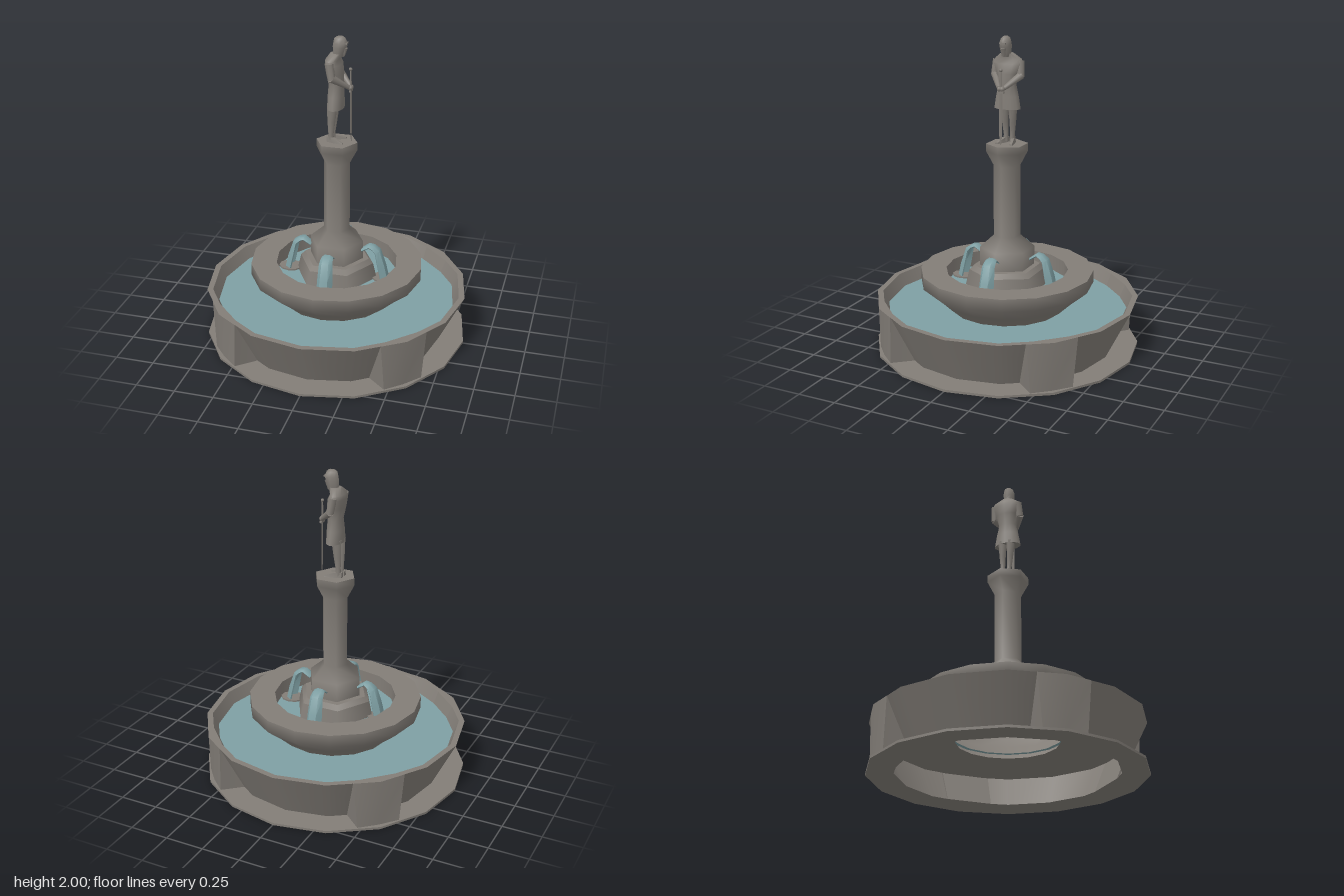
import * as THREE from 'three';
import { mergeGeometries, toCreasedNormals } from 'three/addons/utils/BufferGeometryUtils.js';

const stone = new THREE.MeshStandardMaterial({ color: 0x827d77, side: THREE.DoubleSide });
stone.name = 'stone';
const water = new THREE.MeshStandardMaterial({ color: 0x7e9fa3, side: THREE.DoubleSide });
water.name = 'water';
const V = (x, y, z) => new THREE.Vector3(x, y, z);

function add(parent, name, geometry, material = stone) {
  const mesh = new THREE.Mesh(geometry, material);
  mesh.name = name;
  parent.add(mesh);
  return mesh;
}

// Turned profile with smooth shading throughout
function smoothTurned(profile, sides, phi = 0) {
  return new THREE.LatheGeometry(profile.map(([r, y]) => new THREE.Vector2(r, y)), sides, phi);
}

// Turned profile, round around the axis but sharp at each profile point
function turned(profile, sides, phi = 0) {
  const bands = [];
  for (let i = 0; i + 1 < profile.length; i++)
    bands.push(smoothTurned(profile.slice(i, i + 2), sides, phi));
  return mergeGeometries(bands);
}

// Skin over a list of closed rings, capped at both ends
function loft(rings, crease = 0.9) {
  const n = rings[0].length, pos = [], idx = [];
  rings.flat().forEach(p => pos.push(p.x, p.y, p.z));
  for (let r = 0; r + 1 < rings.length; r++)
    for (let i = 0; i < n; i++) {
      const a = r * n + i, b = r * n + (i + 1) % n;
      idx.push(a, b, b + n, a, b + n, a + n);
    }
  [0, rings.length - 1].forEach((r, end) => {
    const c = rings[r].reduce((s, p) => s.add(p), V(0, 0, 0)).divideScalar(n);
    const ci = pos.length / 3;
    pos.push(c.x, c.y, c.z);
    for (let i = 0; i < n; i++) {
      const a = r * n + i, b = r * n + (i + 1) % n;
      idx.push(ci, end ? a : b, end ? b : a);
    }
  });
  const g = new THREE.BufferGeometry();
  g.setAttribute('position', new THREE.Float32BufferAttribute(pos, 3));
  g.setIndex(idx);
  return toCreasedNormals(g, crease);
}

// Body made of level ovals: [y, centre x, radius x, radius z, centre z]
function body(rows, sides = 10) {
  return loft(rows.map(([y, cx, rx, rz, cz = 0]) =>
    Array.from({ length: sides }, (_, i) => {
      const t = (i / sides) * Math.PI * 2;
      return V(cx + rx * Math.cos(t), y, cz - rz * Math.sin(t));
    })));
}

// Tapered round limb from a to b
function limb(a, b, ra, rb, sides = 8) {
  const d = b.clone().sub(a);
  const g = new THREE.CylinderGeometry(rb, ra, d.length(), sides);
  g.applyQuaternion(new THREE.Quaternion().setFromUnitVectors(V(0, 1, 0), d.clone().normalize()));
  const m = a.clone().add(b).multiplyScalar(0.5);
  return g.translate(m.x, m.y, m.z);
}

function buildBasin(g) {
  add(g, 'basePlate', turned([[0.69, 0], [0.85, 0], [0.85, 0.015], [0.68, 0.015]], 16));
  add(g, 'basinWall', turned([[0.69, 0.015], [0.845, 0.33], [0.808, 0.33], [0.772, 0.25]], 16));
  add(g, 'basinFloor', turned([[0.32, 0.21], [0.76, 0.21]], 16));
  add(g, 'basinWater', turned([[0.775, 0.25], [0.34, 0.25]], 16), water);
  // Four buttresses on the diagonals, their tops following the corner of the rim
  const block = loft([[0.015, 0.65, 0.148, 0.813, 0.135, 0.822], [0.33, 0.785, 0.163, 0.814, 0.163, 0.846]]
    .map(([y, ri, wi, ro, wo, mid]) =>
      [V(ri, y, wi), V(ro, y, wo), V(mid, y, 0), V(ro, y, -wo), V(ri, y, -wi)]), 0.5);
  for (let i = 0; i < 4; i++)
    add(g, 'buttress', block).rotation.y = Math.PI / 4 + i * Math.PI / 2;
}

function buildBowl(g) {
  add(g, 'upperBowl', smoothTurned([[0.325, 0.21], [0.45, 0.33], [0.556, 0.42], [0.556, 0.5]], 16));
  add(g, 'bowlRim', turned([[0.556, 0.5], [0.392, 0.5], [0.392, 0.39]], 16));
  add(g, 'upperWater', turned([[0.392, 0.4], [0.18, 0.4]], 16), water);

  // Arched jets of water: [x, y, half width, droop of the edges]
  const path = [[0.165, 0.6, 0.032, 0.008], [0.215, 0.637, 0.036, 0.012], [0.25, 0.63, 0.04, 0.017],
    [0.287, 0.603, 0.044, 0.024], [0.322, 0.5, 0.05, 0.036], [0.345, 0.4, 0.052, 0.036]];
  const rings = path.map(([x, y, w, d], i) => {
    const p = path[Math.max(i - 1, 0)], q = path[Math.min(i + 1, path.length - 1)];
    const l = Math.hypot(q[0] - p[0], q[1] - p[1]);
    const nx = -(q[1] - p[1]) / l, ny = (q[0] - p[0]) / l;
    return [[-d, -w], [0, -w * 0.5], [0, w * 0.5], [-d, w],
      [-d - 0.006, w * 0.85], [-0.01, w * 0.4], [-0.01, -w * 0.4], [-d - 0.006, -w * 0.85]]
      .map(([k, z]) => V(x + nx * k, y + ny * k, z));
  });
  const jet = loft(rings);
  // Splash stone below each jet
  const splash = new THREE.CylinderGeometry(1, 1, 0.01, 10);
  splash.scale(0.078, 1, 0.066).translate(0.313, 0.408, 0);
  for (let i = 0; i < 4; i++) {
    add(g, 'waterJet', jet, water).rotation.y = i * Math.PI / 2;
    add(g, 'splashStone', splash).rotation.y = i * Math.PI / 2;
  }
}

function buildColumn(g) {
  const phi = Math.PI / 2;
  add(g, 'columnFoot', turned([[0, 0.385], [0.27, 0.385], [0.242, 0.5], [0.213, 0.53], [0.172, 0.53]], 6, phi));
  add(g, 'column', smoothTurned([[0.175, 0.53], [0.175, 0.65], [0.085, 0.73], [0.085, 1.19],
    [0.132, 1.28], [0.132, 1.328]], 6, phi));
  add(g, 'columnTop', turned([[0.132, 1.328], [0, 1.328]], 6, phi));
}

// Standing figure facing +x with both hands on a sword
function buildStatue(g) {
  const s = new THREE.Group();
  s.name = 'statue';
  g.add(s);
  add(s, 'tunic', body([[1.55, -0.005, 0.052, 0.09], [1.63, -0.005, 0.05, 0.075],
    [1.7, -0.004, 0.046, 0.058], [1.77, -0.01, 0.054, 0.075], [1.83, -0.018, 0.051, 0.1],
    [1.858, -0.024, 0.043, 0.09], [1.895, -0.004, 0.036, 0.04]], 12));
  add(s, 'head', body([[1.875, 0.008, 0.036, 0.026], [1.905, 0.014, 0.038, 0.033],
    [1.935, 0.018, 0.044, 0.037], [1.96, 0.023, 0.045, 0.037], [1.988, 0.02, 0.036, 0.028],
    [2, 0.022, 0.02, 0.014]], 8));
  add(s, 'beard', limb(V(0.05, 1.93, 0), V(0.042, 1.878, 0), 0.018, 0.007, 6));
  add(s, 'brow', new THREE.BoxGeometry(0.01, 0.01, 0.04).translate(0.062, 1.96, 0));

  for (const side of [-1, 1]) {
    add(s, 'upperArm', limb(V(-0.024, 1.848, side * 0.08), V(-0.008, 1.752, side * 0.088), 0.026, 0.024));
    add(s, 'forearm', limb(V(-0.012, 1.762, side * 0.09), V(0.078, 1.69, side * 0.018), 0.026, 0.014));
    add(s, 'hand', new THREE.SphereGeometry(0.017, 8, 6).translate(0.086, 1.685, side * 0.009));
    add(s, 'leg', body([[1.335, -0.032, 0.02, 0.018, side * 0.022],
      [1.38, -0.032, 0.017, 0.015, side * 0.022], [1.46, -0.028, 0.025, 0.02, side * 0.026],
      [1.57, -0.022, 0.034, 0.028, side * 0.029]], 8));
    // Boots point slightly outwards
    add(s, 'boot', loft([[-0.058, 0.013, 0.03, 0.02], [-0.01, 0.016, 0.028, 0.032],
      [0.048, 0.01, 0.006, 0.05]].map(([x, w, h, z]) => [V(x, 1.328, side * z - w),
      V(x, 1.33 + h, side * z - w * 0.7), V(x, 1.33 + h, side * z + w * 0.7),
      V(x, 1.328, side * z + w)])));
  }

  // Sword with its point resting on the column
  add(s, 'blade', body([[1.335, 0.091, 0.001, 0.002], [1.39, 0.09, 0.005, 0.01],
    [1.67, 0.088, 0.006, 0.012]], 4));
  add(s, 'crossGuard', new THREE.BoxGeometry(0.014, 0.012, 0.045).translate(0.088, 1.665, 0));
  add(s, 'grip', limb(V(0.088, 1.66, 0), V(0.086, 1.79, 0), 0.007, 0.005, 6));
  add(s, 'pommel', new THREE.SphereGeometry(0.011, 6, 5).translate(0.086, 1.8, 0));
}

export function createModel() {
  const model = new THREE.Group();
  model.name = 'fountain';
  const g = new THREE.Group();
  g.name = 'fountainParts';
  g.position.set(-0.002, 0, -0.002);
  model.add(g);
  buildBasin(g);
  buildBowl(g);
  buildColumn(g);
  buildStatue(g);
  return model;
}
